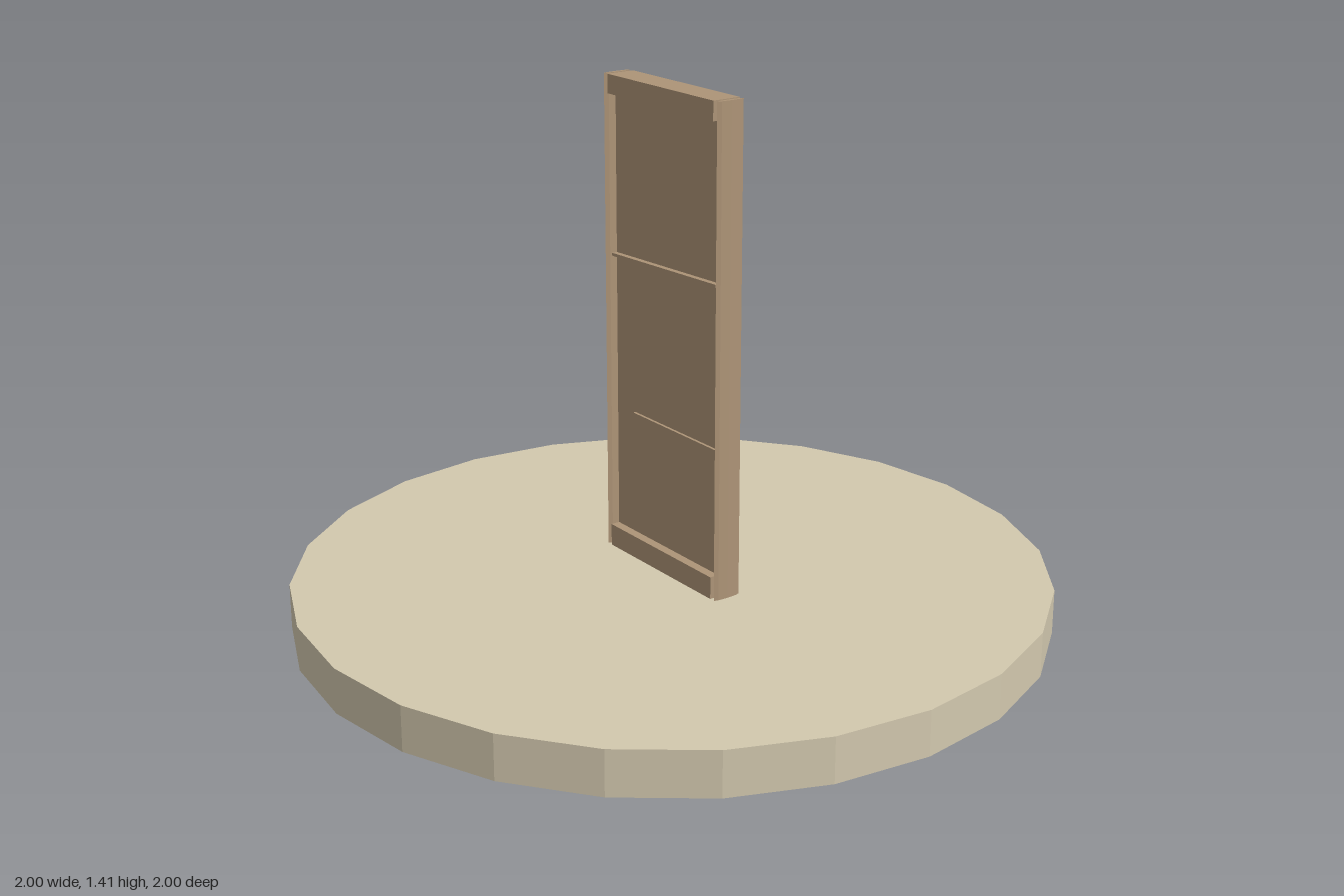
import * as THREE from 'three';

export function createModel() {
  const group = new THREE.Group();
  const stone = new THREE.MeshStandardMaterial({ color: 0xd2c8ae });
  stone.name = 'pale stone';
  stone.flatShading = true;
  const wood = new THREE.MeshStandardMaterial({ color: 0xad9477 });
  wood.name = 'brown wood';
  wood.flatShading = true;

  const add = (name, geometry, material, x, y, z = 0) => {
    const mesh = new THREE.Mesh(geometry, material);
    mesh.name = name;
    mesh.position.set(x, y, z);
    group.add(mesh);
    return mesh;
  };
  const board = (name, x0, x1, y0, y1, depth) =>
    add(name, new THREE.BoxGeometry(x1 - x0, y1 - y0, depth), wood, (x0 + x1) / 2, (y0 + y1) / 2);

  const baseTop = 0.12, top = 1.41, half = 0.22;

  // Round faceted base
  add('base', new THREE.CylinderGeometry(1, 1, baseTop, 24), stone, 0, baseTop / 2);

  // Recessed panel with full-depth rails at its ends
  board('panel', -half, half, baseTop, top - 0.01, 0.03);
  board('bottomRail', -half, half, baseTop, 0.18, 0.08);
  board('topRail', -half, half, 1.36, top, 0.08);

  // Shorter middle rail and a thin, slightly tilted slat
  board('middleRail', -0.14, half, 0.47, 0.52, 0.045);
  const slat = board('tiltedSlat', -half, half, 0.939, 0.947, 0.06);
  slat.rotation.z = 0.034;

  // Thin flattened posts, standing just clear of the panel
  for (const side of [-1, 1]) {
    const post = new THREE.CylinderGeometry(0.04, 0.04, top - baseTop, 8);
    post.scale(0.14, 1, 1);
    add(side > 0 ? 'leftPost' : 'rightPost', post, wood, side * 0.235, (baseTop + top) / 2);
  }

  return group;
}
